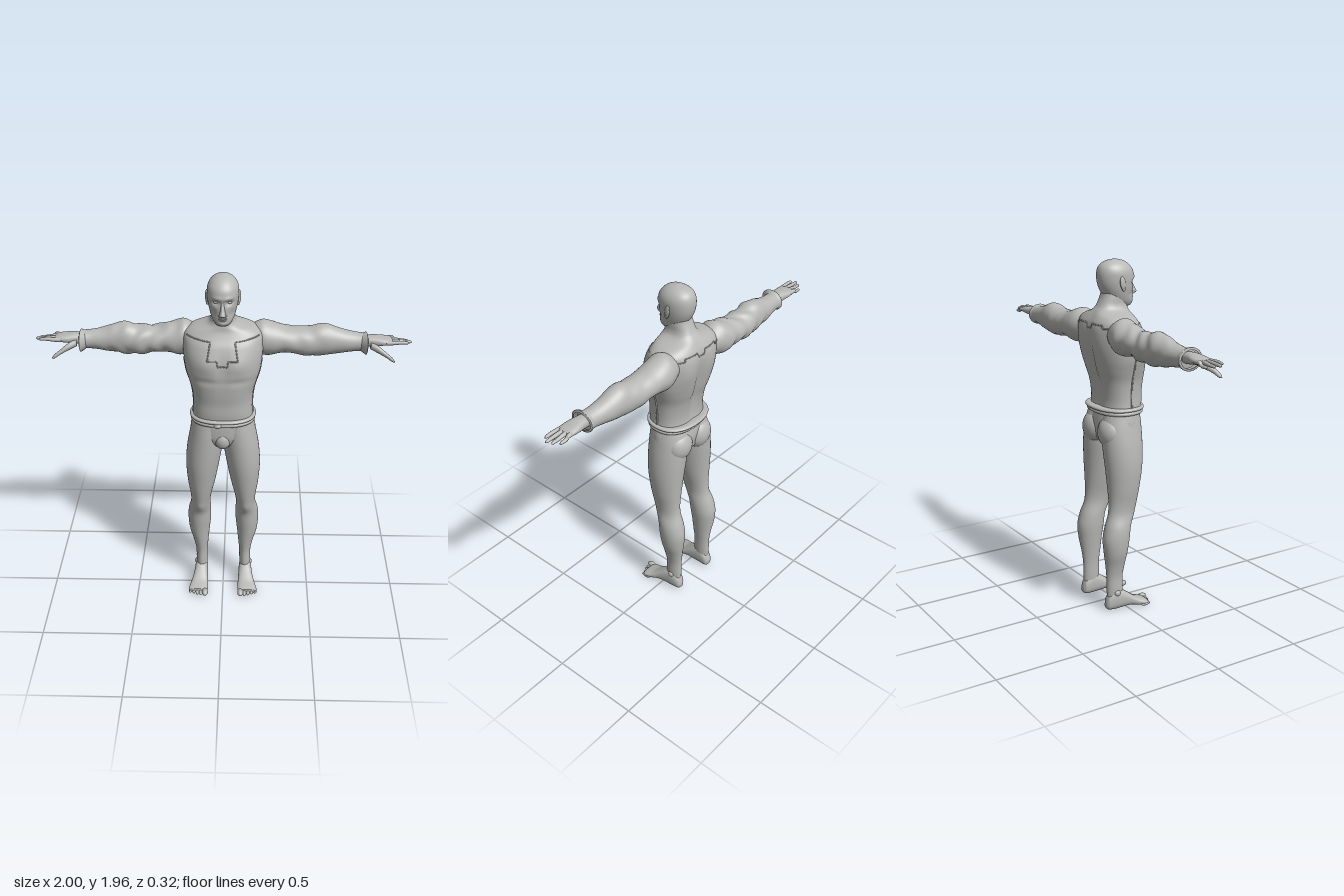
import * as THREE from 'three';

const skin = new THREE.MeshStandardMaterial({ color: 0xb8b8b6 });
skin.name = 'plain grey';

// Smoothly interpolate rows [t, uMin, uMax, vMin, vMax] at position t
function sectionAt(rows, t) {
  let i = 0;
  while (i < rows.length - 2 && t > rows[i + 1][0]) i++;
  const a = rows[i], b = rows[i + 1], h = b[0] - a[0], s = (t - a[0]) / h;
  const slope = (k, c) => {
    const p = rows[Math.max(k - 1, 0)], n = rows[Math.min(k + 1, rows.length - 1)];
    return (n[c] - p[c]) / (n[0] - p[0]);
  };
  return [1, 2, 3, 4].map(c =>
    (2 * s ** 3 - 3 * s * s + 1) * a[c] + (s ** 3 - 2 * s * s + s) * h * slope(i, c) +
    (3 * s * s - 2 * s ** 3) * b[c] + (s ** 3 - s * s) * h * slope(i + 1, c));
}

// Loft of superellipse sections along an axis; bump(p) may move each vertex
function loft(group, name, axis, rows, { side = 1, power = 2, seg = 32, span = 6, bump } = {}) {
  const pos = [], index = [], p = new THREE.Vector3();
  const place = (t, u, v) => {
    if (axis === 'y') p.set(u, t, v);        // u = x, v = z
    else if (axis === 'x') p.set(t, u, v);   // u = y, v = z
    else p.set(u, v, t);                     // u = x, v = y
    if (bump) bump(p);
    pos.push(p.x * side, p.y, p.z);
  };
  const rings = (rows.length - 1) * span;
  for (let r = 0; r <= rings; r++) {
    const i = Math.min(Math.floor(r / span), rows.length - 2);
    const t = rows[i][0] + (rows[i + 1][0] - rows[i][0]) * (r - i * span) / span;
    const [u0, u1, v0, v1] = sectionAt(rows, t);
    for (let k = 0; k < seg; k++) {
      const a = k / seg * Math.PI * 2, c = Math.cos(a), s = Math.sin(a);
      place(t, (u0 + u1) / 2 + (u1 - u0) / 2 * Math.sign(c) * Math.abs(c) ** (2 / power),
        (v0 + v1) / 2 + (v1 - v0) / 2 * Math.sign(s) * Math.abs(s) ** (2 / power));
    }
  }
  for (let r = 0; r < rings; r++) for (let k = 0; k < seg; k++) {
    const a = r * seg + k, b = r * seg + (k + 1) % seg;
    index.push(a, b, a + seg, b, b + seg, a + seg);
  }
  // end caps
  const caps = [rows[0], rows[rows.length - 1]];
  caps.forEach((q, e) => {
    const c = pos.length / 3, o = e * rings * seg;
    place(q[0], (q[1] + q[2]) / 2, (q[3] + q[4]) / 2);
    for (let k = 0; k < seg; k++) {
      const a = o + k, b = o + (k + 1) % seg;
      e ? index.push(a, b, c) : index.push(b, a, c);
    }
  });
  // turn faces outward when the enclosed volume comes out negative
  let vol = 0;
  const P = i => new THREE.Vector3().fromArray(pos, i * 3);
  for (let i = 0; i < index.length; i += 3) vol += P(index[i]).dot(P(index[i + 1]).cross(P(index[i + 2])));
  if (vol < 0) index.reverse();
  const g = new THREE.BufferGeometry();
  g.setAttribute('position', new THREE.Float32BufferAttribute(pos, 3));
  g.setIndex(index);
  g.computeVertexNormals();
  return add(group, name, g);
}

function add(group, name, geometry) {
  const m = new THREE.Mesh(geometry, skin);
  m.name = name;
  group.add(m);
  return m;
}

function ball(group, name, [x, y, z], [a, b, c]) {
  const m = add(group, name, new THREE.SphereGeometry(1, 24, 16));
  m.position.set(x, y, z);
  m.scale.set(a, b, c);
  return m;
}

const hill = (d, w) => Math.exp(-((d / w) ** 2));
const even = rows => rows.map(([y, r, back, front]) => [y, -r, r, back, front]);

const torsoRows = even([
  [1.14, .165, -.1, .13], [1.2, .16, -.095, .138], [1.26, .16, -.1, .14], [1.32, .166, -.112, .148],
  [1.38, .183, -.13, .154], [1.44, .2, -.143, .157], [1.52, .21, -.155, .15], [1.59, .212, -.158, .128],
  [1.635, .205, -.148, .1], [1.665, .165, -.132, .085], [1.69, .09, -.115, .08], [1.715, .066, -.095, .075],
  [1.76, .06, -.072, .068], [1.8, .055, -.06, .05]]);

function torsoBump(p) {
  const ax = Math.abs(p.x);
  if (p.z < -.03) {
    // spine groove and shoulder blades
    p.z += .022 * hill(p.x, .028) * hill(p.y - 1.4, .2);
    p.z -= .008 * hill(ax - .1, .05) * hill(p.y - 1.52, .08);
  } else if (p.z > .03) {
    // chest and upper belly
    p.z += .01 * hill(ax - .085, .055) * hill(p.y - 1.5, .05);
    p.z -= .007 * hill(p.x, .02) * hill(p.y - 1.48, .1) + .005 * hill(p.y - 1.405, .018) * hill(ax - .08, .07);
  }
}

// Raised seam laid on the front (1) or back (-1) of the torso
function seam(group, name, corners, dir) {
  const pts = [];
  const drop = (x, y) => {
    const [, rx, back, front] = sectionAt(torsoRows, y);
    const e = Math.pow(Math.max(0, 1 - Math.abs(x / rx) ** 2.4), 1 / 2.4);
    const p = new THREE.Vector3(x, y, (back + front) / 2 + dir * (front - back) / 2 * e);
    torsoBump(p);
    return p;
  };
  corners.slice(1).forEach(([x, y], i) => {
    const [px, py] = corners[i];
    for (let k = 0; k < 6; k++) pts.push(drop(px + (x - px) * k / 6, py + (y - py) * k / 6));
  });
  pts.push(drop(...corners[corners.length - 1]));
  add(group, name, new THREE.TubeGeometry(new THREE.CatmullRomCurve3(pts), 200, .0035, 6));
}

function buildHead(g) {
  loft(g, 'head', 'y', even([
    [1.7, .02, .03, .085], [1.712, .04, .0, .106], [1.74, .058, -.035, .115], [1.78, .071, -.064, .116],
    [1.82, .079, -.083, .116], [1.86, .083, -.091, .119], [1.9, .08, -.089, .112], [1.93, .064, -.074, .089],
    [1.95, .038, -.042, .058], [1.957, .016, -.01, .03], [1.959, .004, .008, .016]]), {
    seg: 64, power: 2.1, bump: p => {
      if (p.z < .04) return;
      const ax = Math.abs(p.x);
      p.z -= .016 * hill(ax - .034, .02) * hill(p.y - 1.838, .014);   // eye sockets
      p.z += .006 * hill(ax - .03, .03) * hill(p.y - 1.862, .01);     // brow
      p.z -= .009 * hill(ax - .05, .02) * hill(p.y - 1.775, .025);    // cheeks
      p.z += .007 * hill(p.x, .025) * hill(p.y - 1.726, .012);        // chin
    } });
  loft(g, 'nose', 'y', even([[1.766, .008, .09, .118], [1.771, .018, .09, .14], [1.779, .017, .09, .149],
    [1.8, .012, .09, .138], [1.83, .009, .09, .122], [1.85, .008, .09, .115]]), { seg: 20 });
  ball(g, 'upperLip', [0, 1.754, .112], [.024, .005, .011]);
  ball(g, 'lowerLip', [0, 1.744, .11], [.02, .005, .011]);
  for (const s of [1, -1]) {
    ball(g, 'eye', [s * .034, 1.838, .088], [.014, .009, .013]);
    ball(g, 'nostril', [s * .014, 1.774, .119], [.008, .007, .011]);
    const ear = ball(g, 'ear', [s * .083, 1.838, .01], [.009, .037, .019]);
    ear.rotation.set(-.15, s * -.3, 0);
    ball(g, 'earLobe', [s * .08, 1.805, .018], [.007, .011, .01]);
  }
}

function buildArm(g, s) {
  // the right sleeve is more crumpled than the left
  const amount = s < 0 ? .075 : .02;
  loft(g, s > 0 ? 'leftSleeve' : 'rightSleeve', 'x', [
    [.13, 1.52, 1.64, -.12, .0], [.2, 1.488, 1.675, -.15, .025], [.25, 1.483, 1.668, -.156, .025],
    [.33, 1.5, 1.643, -.15, .02], [.44, 1.482, 1.64, -.143, .018], [.54, 1.484, 1.658, -.132, .008],
    [.62, 1.497, 1.632, -.122, .0], [.7, 1.51, 1.615, -.108, -.004], [.755, 1.515, 1.61, -.102, .0]], {
    side: s, seg: 40, span: 12, bump: p => {
      const cy = 1.57, cz = -.06, a = Math.atan2(p.z - cz, p.y - cy);
      const f = 1 + amount * hill(p.x - .42, .2) * Math.sin(p.x * 62 + 2 * Math.sin(a * 2 + 1)) *
        (.7 + .3 * Math.cos(a * 3 + p.x * 20));
      p.y = cy + (p.y - cy) * f;
      p.z = cz + (p.z - cz) * f;
    } });
  loft(g, 'cuff', 'x', [[.725, 1.518, 1.605, -.1, -.008], [.745, 1.506, 1.614, -.106, .014],
    [.76, 1.5, 1.618, -.108, .03], [.764, 1.512, 1.606, -.097, .018], [.75, 1.53, 1.597, -.09, -.01]], { side: s });
  loft(g, 'palm', 'x', [[.73, 1.54, 1.595, -.086, -.018], [.79, 1.542, 1.6, -.09, -.012],
    [.84, 1.55, 1.595, -.098, -.004], [.88, 1.556, 1.588, -.096, -.006], [.895, 1.562, 1.582, -.09, -.012]],
    { side: s, power: 2.4 });
  // four fingers: z position and tip x
  [[-.087, .955, 1.561], [-.063, .985, 1.568], [-.038, 1, 1.572], [-.014, .98, 1.576]].forEach(([z, tip, y]) => {
    const row = (x, r, yy) => [x, yy - r, yy + r, z - r, z + r];
    loft(g, 'finger', 'x', [row(.86, .011, 1.571), row(.9, .0115, 1.573), row(tip - .04, .0095, y),
      row(tip - .008, .007, y - .002), row(tip, .001, y - .003)], { side: s, seg: 14, span: 4 });
  });
  loft(g, 'thumb', 'x', [[.78, 1.535, 1.575, -.04, .0], [.82, 1.521, 1.56, -.02, .02], [.86, 1.505, 1.533, .008, .034],
    [.895, 1.486, 1.507, .026, .044], [.906, 1.486, 1.492, .036, .042]], { side: s, seg: 16 });
}

function buildLeg(g, s) {
  loft(g, s > 0 ? 'leftLeg' : 'rightLeg', 'y', [
    [.05, .1, .155, -.115, -.025], [.12, .096, .16, -.118, -.02], [.2, .094, .161, -.119, -.02],
    [.27, .088, .174, -.126, -.01], [.35, .08, .196, -.138, .002], [.43, .072, .204, -.144, .014],
    [.5, .071, .2, -.13, .024], [.57, .074, .184, -.107, .05], [.63, .066, .186, -.1, .068],
    [.72, .045, .199, -.102, .086], [.84, .022, .207, -.11, .105], [.95, .004, .2, -.117, .113],
    [1.05, -.005, .183, -.117, .115], [1.14, -.01, .165, -.095, .11]], {
    side: s, seg: 40, bump: p => {
      if (p.z > 0) p.z += .007 * hill(p.x - .128, .03) * hill(p.y - .555, .035);  // kneecap
    } });
  ball(g, 'buttock', [s * .08, 1.03, -.065], [.083, .09, .068]);
  ball(g, 'ankleBone', [s * .157, .105, -.068], [.013, .018, .018]);
  loft(g, 'foot', 'z', [[-.127, .115, .143, .02, .05], [-.115, .1, .156, .008, .085], [-.075, .094, .166, .004, .125],
    [-.03, .092, .17, .006, .115], [.02, .09, .178, .01, .082], [.06, .088, .19, .005, .055],
    [.1, .088, .2, .004, .04], [.12, .092, .194, .008, .033]], { side: s, power: 2.4 });
  // toes from big to small
  for (let i = 0; i < 5; i++) {
    const r = i ? .0115 - i * .0004 : .017;
    ball(g, 'toe', [s * (i ? .107 + i * .021 : .104), r + .003, .13 - i * .006 - (i > 2 ? .005 : 0)], [r, r, .029]);
  }
}

export function createModel() {
  const g = new THREE.Group();
  g.name = 'standingFigure';
  buildHead(g);
  loft(g, 'torso', 'y', torsoRows, { seg: 64, power: 2.4, bump: torsoBump });
  loft(g, 'pelvis', 'y', even([[.965, .03, -.07, .06], [.985, .1, -.095, .09], [1.03, .17, -.105, .112],
    [1.08, .178, -.108, .118], [1.16, .163, -.095, .118]]), { seg: 40 });
  ball(g, 'groin', [0, 1.03, .085], [.045, .055, .042]);
  // rolled hem and belt
  const roll = (y, h, r, back, front) => even([-1, -.7, 0, .7, 1].map(k => {
    const e = .016 * (Math.sqrt(1 - k * k) - 1);
    return [y + k * h, r + e, back - e, front + e];
  }));
  loft(g, 'hem', 'y', roll(1.163, .011, .18, -.133, .153), { seg: 48, power: 2.3, span: 3 });
  loft(g, 'belt', 'y', roll(1.143, .013, .176, -.122, .146), { seg: 48, power: 2.3, span: 3 });
  ball(g, 'beltKnot', [-.025, 1.142, .138], [.022, .014, .014]);
  // stepped collar edges
  const mirror = half => [...half.map(([x, y]) => [-x, y]), ...half.slice().reverse()];
  seam(g, 'frontCollarEdge', mirror([[.19, 1.635], [.065, 1.62], [.08, 1.53], [.03, 1.53], [.025, 1.5]]), 1);
  seam(g, 'backCollarEdge', mirror([[.19, 1.62], [.12, 1.615], [.115, 1.63], [.03, 1.63], [.02, 1.605]]), -1);
  for (const s of [1, -1]) {
    buildArm(g, s);
    buildLeg(g, s);
    // side edge of the top, from armpit to hem
    const pts = [1.5, 1.42, 1.34, 1.26, 1.17].map(y => new THREE.Vector3(s * (sectionAt(torsoRows, y)[1] - .001), y, .02));
    add(g, 'sideSeam', new THREE.TubeGeometry(new THREE.CatmullRomCurve3(pts), 30, .005, 8));
  }
  return g;
}
